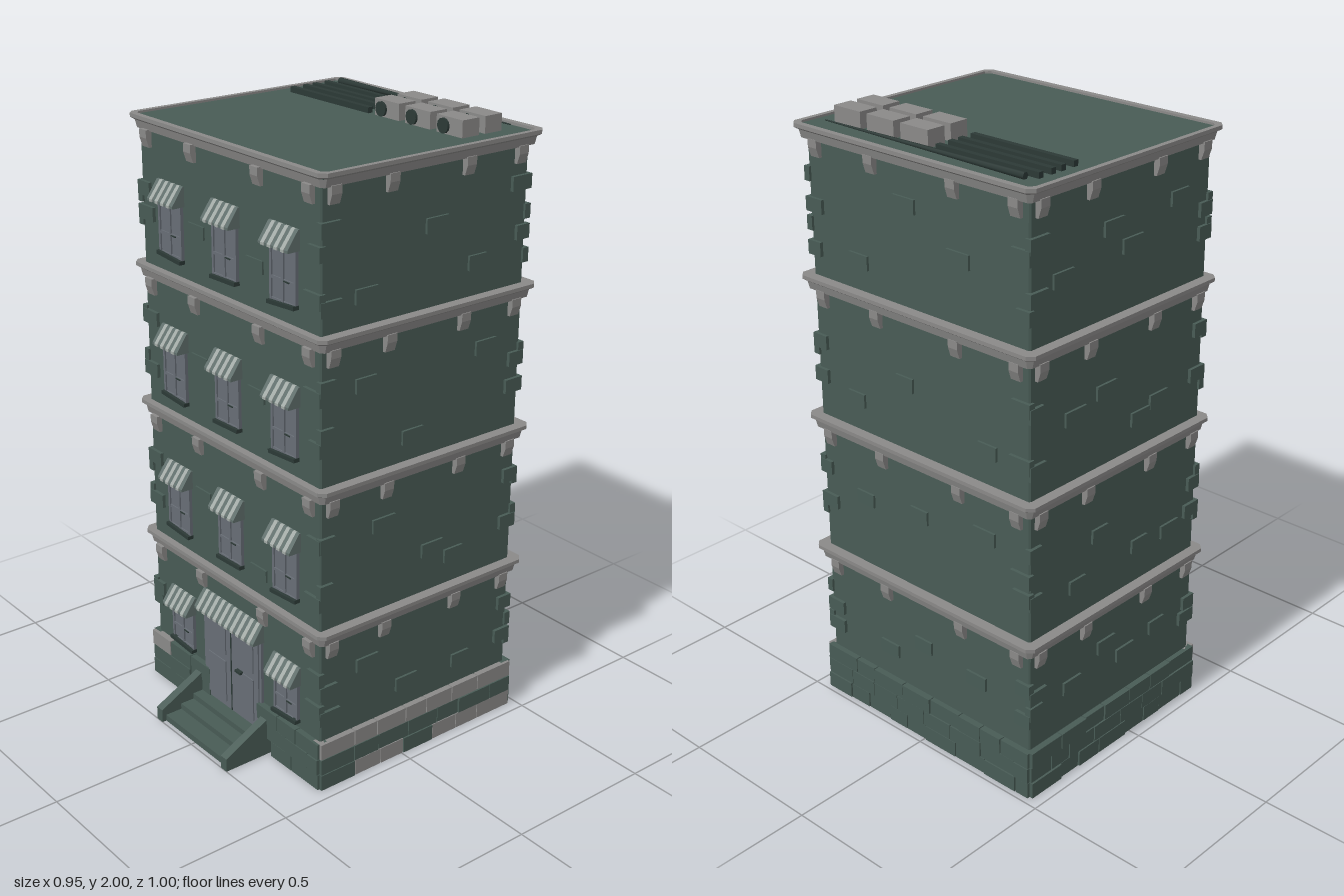
import * as THREE from 'three';

const mat = (name, color, side = THREE.FrontSide) => {
  const m = new THREE.MeshStandardMaterial({ color, side });
  m.name = name;
  return m;
};

export function createModel() {
  const root = new THREE.Group();
  root.name = 'apartmentBuilding';
  const wall = mat('wallGreen', 0x485b55);
  const shell = mat('wallGreenShell', 0x485b55, THREE.DoubleSide);
  const trim = mat('trimGrey', 0x8a8988);
  const glass = mat('windowGrey', 0x676d75);
  const pale = mat('awningPale', 0xa2aaa6);
  const cloth = mat('awningGreyGreen', 0x5f6e6b);
  const dark = mat('darkGreen', 0x2c3936);

  let seed = 7;
  const rnd = (a = 0, b = 1) => {
    seed = (seed * 16807) % 2147483647;
    return a + (b - a) * (seed / 2147483647);
  };

  const add = (parent, name, geo, m, x = 0, y = 0, z = 0) => {
    const mesh = new THREE.Mesh(geo, m);
    mesh.name = name;
    mesh.position.set(x, y, z);
    parent.add(mesh);
    return mesh;
  };
  const box = (parent, name, m, w, h, d, x, y, z) =>
    add(parent, name, new THREE.BoxGeometry(w, h, d), m, x, y, z);

  // Prism across x from a side outline of [z, y] points
  const prism = (parent, name, m, pts, w, x, y, z) => {
    const shape = new THREE.Shape(pts.map(p => new THREE.Vector2(p[0], p[1])));
    const geo = new THREE.ExtrudeGeometry(shape, { depth: w, bevelEnabled: false });
    geo.rotateY(-Math.PI / 2).translate(w / 2, 0, 0);
    return add(parent, name, geo, m, x, y, z);
  };

  // Faceted walls through chamfered rectangles [halfX, halfZ, y, chamfer]
  const loft = rings => {
    const loops = rings.map(([a, b, y, c]) => [
      [-a + c, b], [a - c, b], [a, b - c], [a, -b + c],
      [a - c, -b], [-a + c, -b], [-a, -b + c], [-a, b - c],
    ].map(p => [p[0], y, p[1]]));
    const pos = [];
    for (let r = 0; r + 1 < loops.length; r++) {
      for (let i = 0; i < 8; i++) {
        const j = (i + 1) % 8;
        const [a, b, c, d] = [loops[r][i], loops[r][j], loops[r + 1][j], loops[r + 1][i]];
        pos.push(...a, ...b, ...c, ...a, ...c, ...d);
      }
    }
    const geo = new THREE.BufferGeometry();
    geo.setAttribute('position', new THREE.Float32BufferAttribute(pos, 3));
    geo.computeVertexNormals();
    return geo;
  };

  // Walls, open underneath, and flat roof
  const CZ = -0.07, HX = 0.44, HZ = 0.39;
  add(root, 'walls', loft([[HX, HZ, 0, 0.005], [HX, HZ, 1.94, 0.005]]), shell, 0, 0, CZ);
  box(root, 'roof', wall, 0.92, 0.012, 0.8, 0, 1.942, CZ);

  // Flared cornices between the floors
  const floors = [0.55, 1.02, 1.485, 1.955];
  floors.forEach((y, i) => {
    const top = i === 3;
    add(root, 'cornice', loft([
      [0.435, 0.385, y - 0.045, 0.005], [0.455, 0.402, y - 0.045, 0.01],
      [0.462, 0.408, y - 0.02, 0.015], [0.475, 0.42, y - 0.012, 0.02],
      [0.475, 0.42, y, 0.02], [top ? 0.458 : 0.435, top ? 0.4 : 0.385, y, 0.015],
      [top ? 0.458 : 0.435, top ? 0.4 : 0.385, y - 0.015, 0.015],
    ]), trim, 0, 0, CZ - 0.005);
  });

  // Each side in turn: corbels, loose bricks and base stones
  const sides = [
    { name: 'front', half: HX, out: HZ, n: 0 }, { name: 'left', half: HZ, out: HX, n: 3 },
    { name: 'back', half: HX, out: HZ, n: 3 }, { name: 'right', half: HZ, out: HX, n: 4 },
  ];
  sides.forEach(({ name, half, out, n }, s) => {
    const g = new THREE.Group();
    g.name = name + 'Side';
    g.position.z = CZ;
    g.rotation.y = s * Math.PI / 2;
    root.add(g);

    floors.forEach((y, f) => {
      for (const t of [-0.9, -0.37, 0.37, 0.9]) {
        prism(g, 'corbel', trim, [[0, 0], [0.012, 0], [0.022, 0.03], [0.022, 0.055], [0, 0.055]],
          0.036, t * half, y - 0.096, out - 0.002);
      }
      // Bricks spread over the wall, and alternating ones at the corners
      const y0 = f ? floors[f - 1] + 0.05 : 0.22;
      const h = y - 0.14 - y0;
      for (let k = 0; k < n; k++) {
        const u = half * (-0.75 + 1.5 * (k + rnd(0.2, 0.8)) / n);
        box(g, 'brick', wall, rnd(0.07, 0.09), 0.045, 0.016, u, y0 + rnd(0.1, 0.95) * h, out);
      }
      for (const e of [-1, 1]) {
        for (let k = 0; k < 2; k++) {
          const w = rnd(0.05, 0.08);
          box(g, 'cornerBrick', wall, w, 0.045, 0.022, e * (half + 0.008 - w / 2),
            y0 + (k + rnd(0.1, 0.9)) * h / 2, out);
        }
      }
      if (s === 0) {
        for (const u of [-0.15, 0.14]) {
          if (f) box(g, 'brick', wall, 0.08, 0.04, 0.012, u, y0 + rnd(0.05, 0.9) * h, out);
        }
      }
    });

    // Three courses of uneven stones
    for (let row = 0; row < 3; row++) {
      const end = half + 0.012;
      for (let u = -end; u < end - 0.01;) {
        let w = rnd(0.08, 0.14);
        if (end - u - w < 0.05) w = end - u;
        const mid = u + w / 2;
        u += w;
        if (s === 0 && Math.abs(mid) < 0.16) continue;
        let m = wall;
        if (s === 1) {
          const greenStone = row === 1 || (row === 0 && (mid < -0.31 || Math.abs(mid - 0.035) < 0.06));
          m = greenStone ? wall : trim;
        } else if (s === 0 && row === 2 && mid < -0.38) m = trim;
        else if (s === 3 && row === 2 && mid > 0.34) m = trim;
        const d = s === 1 && m === trim ? 0.04 : rnd(0.034, 0.046);
        box(g, 'baseStone', m, w - 0.003, 0.053, d, mid, 0.0275 + row * 0.055, out);
      }
    }
  });

  // Striped awning, y at its lower edge
  const FZ = CZ + HZ;
  const awning = (parent, w, n, x, y) => {
    const g = new THREE.Group();
    g.name = 'awning';
    for (let i = 0; i < n; i++) {
      const p = i % 2 ? 0.047 : 0.044;
      prism(g, 'awningStripe', i % 2 ? pale : cloth, [[0, 0], [p, 0], [p, 0.008], [0.006, 0.062], [0, 0.062]],
        w / n, -w / 2 + (i + 0.5) * w / n, 0, 0);
    }
    g.position.set(x, y, FZ);
    parent.add(g);
  };

  // Windows
  const sills = [0.185, 0.61, 1.075, 1.54];
  sills.forEach((y, f) => {
    for (const x of [-0.28, 0, 0.28]) {
      if (!f && !x) continue;
      const g = new THREE.Group();
      g.name = 'window';
      root.add(g);
      const h = f ? 0.175 : 0.14;
      box(g, 'pane', glass, 0.12, h, 0.008, x, y + h / 2, FZ + 0.002);
      for (const e of [-0.056, 0, 0.056]) box(g, 'frameUpright', glass, 0.009, h, 0.014, x + e, y + h / 2, FZ + 0.004);
      for (const t of [0.03, 0.4]) box(g, 'frameRail', glass, 0.12, 0.009, 0.013, x, y + t * h, FZ + 0.004);
      box(g, 'latch', dark, 0.025, 0.004, 0.014, x + 0.02, y + h * 0.4, FZ + 0.006);
      const sill = box(g, 'sill', dark, 0.125, 0.012, 0.026, x, y, FZ + 0.008);
      sill.rotation.z = x ? Math.sign(x) * 0.07 : 0.03;
      awning(root, 0.135, 9, x, y + h - 0.005);
    }
  });

  // Double door with panels
  box(root, 'doorFrame', glass, 0.31, 0.34, 0.012, 0, 0.225, FZ + 0.004);
  for (const e of [-1, 1]) {
    box(root, 'doorLeaf', glass, 0.142, 0.32, 0.01, e * 0.074, 0.225, FZ + 0.01);
    for (const [y, h] of [[0.31, 0.1], [0.16, 0.15]])
      box(root, 'doorPanel', glass, 0.095, h, 0.006, e * 0.074, y, FZ + 0.016);
  }
  box(root, 'doorGap', dark, 0.005, 0.32, 0.004, 0, 0.225, FZ + 0.014);
  box(root, 'doorHandle', dark, 0.03, 0.008, 0.014, 0.05, 0.235, FZ + 0.021);
  awning(root, 0.32, 21, 0, 0.385);

  // Entrance steps with sloping side walls
  [[0.485, 0.022], [0.425, 0.042], [0.375, 0.062]].forEach(([z, h]) =>
    box(root, 'step', wall, 0.335, h, z - 0.31, 0, h / 2, (z + 0.31) / 2));
  for (const e of [-1, 1])
    prism(root, 'stepWall', wall, [[0, 0], [0.19, 0], [0.19, 0.045], [0.025, 0.13], [0, 0.13]],
      0.03, e * 0.18, 0, 0.31);

  // Air conditioners
  for (const x of [0.057, 0.195, 0.333]) {
    for (const z of [-0.362, -0.272]) {
      box(root, 'airConditioner', trim, 0.11, 0.052, 0.066, x, 1.974, z);
      const fan = add(root, 'fan', new THREE.CylinderGeometry(0.023, 0.023, 0.009, 12), dark, x - 0.022, 1.972, z + 0.036);
      fan.rotation.x = Math.PI / 2;
    }
  }

  // Roof pipes
  for (const z of [-0.383, -0.334, -0.294, -0.244])
    box(root, 'roofPipe', dark, 0.385, 0.018, 0.018, -0.217, 1.957, z);
  const cable = add(root, 'longPipe', new THREE.CylinderGeometry(0.002, 0.011, 0.785, 6), dark, -0.002, 1.962, -0.428);
  cable.rotation.z = -Math.PI / 2;

  return root;
}
